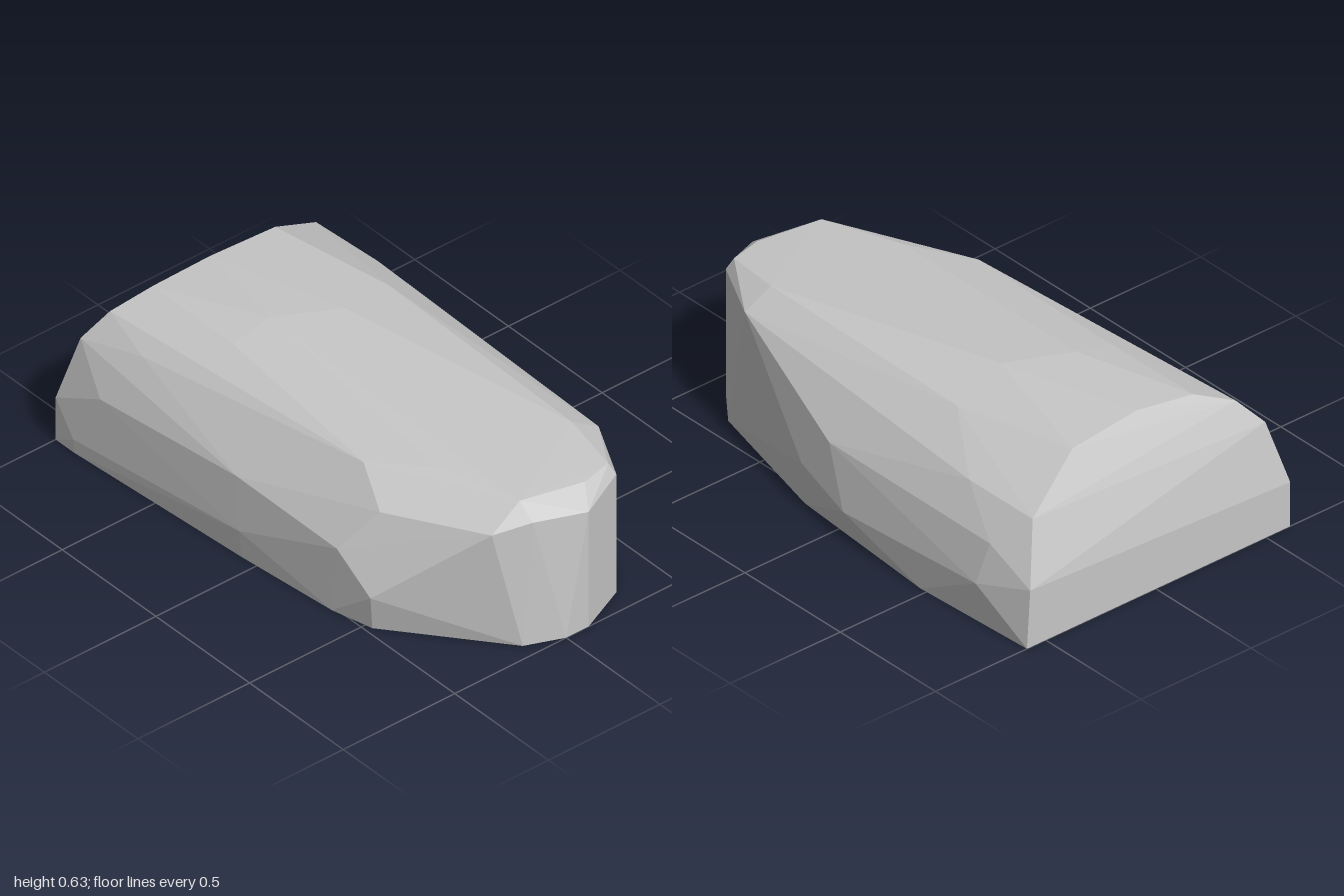
import * as THREE from 'three';
import { ConvexGeometry } from 'three/addons/geometries/ConvexGeometry.js';

// Flat footprint on the ground, as [x, z]
const footprint = [
  [-1, 0.61], [-0.9, 0.61], [-0.07, 0.555], [0.36, 0.515], [0.53, 0.475],
  [0.94, 0.145], [1, 0], [1, -0.1], [0.91, -0.3], [0.77, -0.41],
  [0.2, -0.555], [-0.47, -0.61], [-1, -0.585],
];

// Lower belt of the sides, as [x, y, z]
const belt = [
  [-0.9, 0.06, 0.615], [-0.07, 0.12, 0.57], [0.55, 0.15, 0.5],
  [0.2, 0.17, -0.57], [-0.07, 0.12, -0.615], [-0.77, 0.17, -0.62],
];

// Upper sides, rounding over to the crown
const shoulder = [
  [-0.78, 0.29, 0.595], [-0.1, 0.33, 0.555], [0.4, 0.29, 0.525], [0.5, 0.45, 0.415],
  [-0.68, 0.48, 0.49], [0.34, 0.545, 0.355],
  [0.66, 0.505, -0.43], [0.05, 0.33, -0.575], [-0.8, 0.33, -0.58], [-0.6, 0.46, -0.5],
];

// Rim of the rounded nose
const nose = [
  [0.87, 0.47, 0.225], [0.94, 0.505, 0.1], [1, 0.49, -0.1], [0.91, 0.505, -0.3],
  [0.87, 0.56, 0.1], [0.92, 0.55, -0.15], [0.89, 0.55, -0.28],
];

// Rim of the broad cut end
const cutEnd = [
  [-1, 0.18, 0.61], [-0.95, 0.43, 0.54], [-0.9, 0.53, 0.45], [-0.85, 0.595, 0.3],
  [-0.83, 0.62, 0.06], [-0.84, 0.595, -0.24], [-0.92, 0.45, -0.49], [-1, 0.23, -0.57],
];

// Highest part of the back
const crown = [
  [-0.42, 0.628, 0.14], [-0.3, 0.622, -0.1], [-0.42, 0.59, 0.3],
  [0.55, 0.57, 0.2], [0.65, 0.57, -0.32], [-0.35, 0.575, -0.34],
];

export function createModel() {
  const group = new THREE.Group();
  group.name = 'rock';
  const stone = new THREE.MeshStandardMaterial({ color: 0xc6c6c6 });
  stone.name = 'grey stone';

  // One faceted boulder wrapped around all the loops
  const loops = [footprint.map(([x, z]) => [x, 0, z]), belt, shoulder, nose, cutEnd, crown];
  const points = loops.flat().map((p) => new THREE.Vector3(...p));
  const boulder = new THREE.Mesh(new ConvexGeometry(points), stone);
  boulder.name = 'boulder';
  group.add(boulder);
  return group;
}
